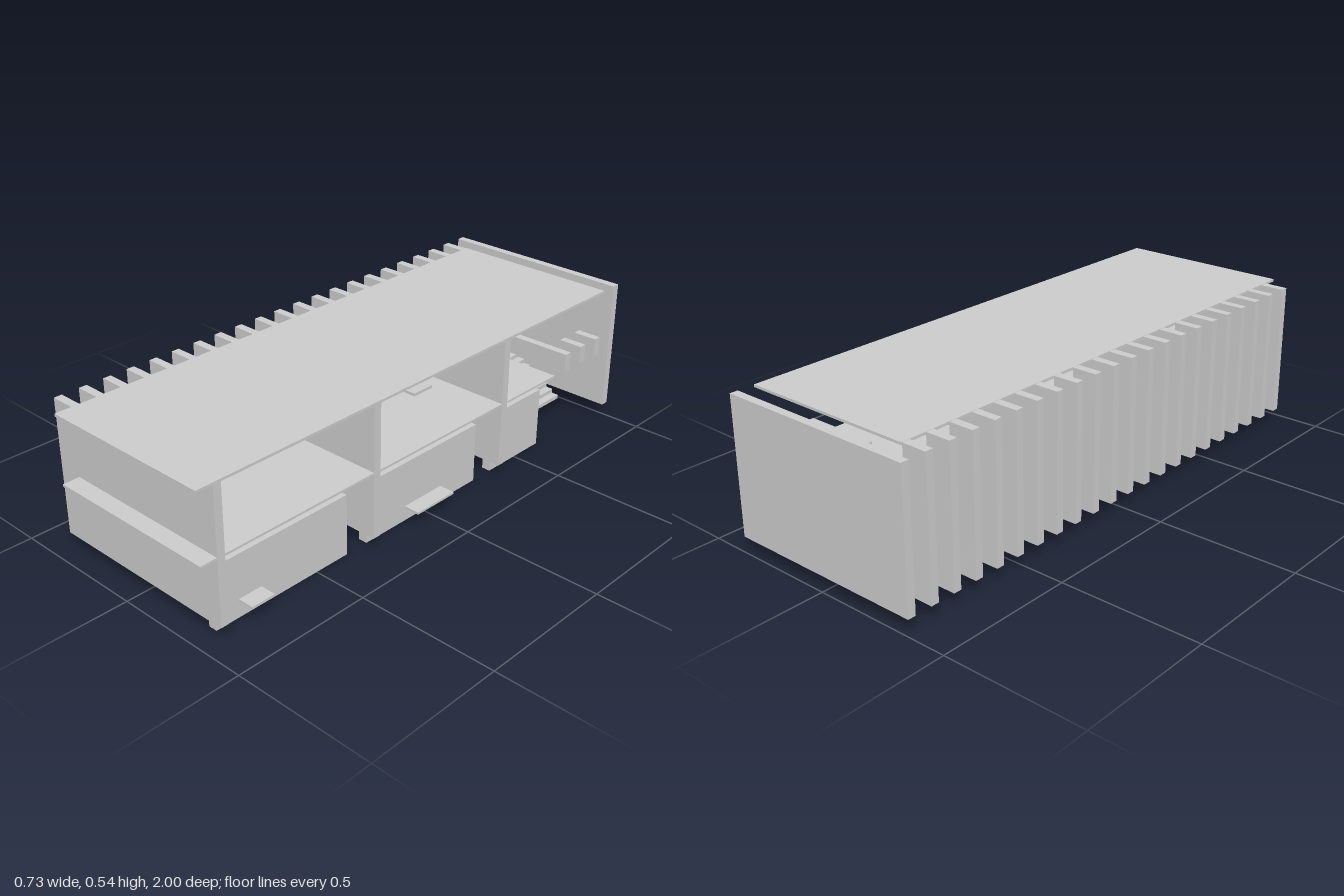
import * as THREE from 'three';

export function createModel() {
  const house = new THREE.Group();
  house.name = 'slattedHouse';
  const material = new THREE.MeshStandardMaterial({ color: 0xcccccc, flatShading: true });

  // Box given by its lower and upper limits on each axis
  function box(name, [x0, x1], [y0, y1], [z0, z1]) {
    const mesh = new THREE.Mesh(new THREE.BoxGeometry(x1 - x0, y1 - y0, z1 - z0), material);
    mesh.position.set((x0 + x1) / 2, (y0 + y1) / 2, (z0 + z1) / 2);
    mesh.name = name;
    house.add(mesh);
  }

  const left = 0.362, right = -0.364, inner = -0.274;
  const wallY = [0.055, 0.535];
  const pitch = 0.0909, frontZ = 0.925, half = 0.0145;

  // Every seventh frame is a full cross wall, the rest are slats on one side
  for (let i = 0; i <= 21; i++) {
    const z = frontZ - i * pitch;
    const span = [z - half, z + half];
    if (i === 7) {
      // Cross wall with a doorway
      box('crossWall', [right, -0.09], wallY, span);
      box('crossWall', [0, left], wallY, span);
      box('crossWallLintel', [-0.09, 0], [0.24, 0.535], span);
    } else if (i % 7 === 0) {
      box('crossWall', [right, left], wallY, span);
    } else {
      box('slat', [right, inner], wallY, span);
    }
  }

  // Roof and upper floor
  box('roof', [inner, left], [0.527, 0.536], [-0.91, 1]);
  box('upperFloor', [inner, left], [0.287, 0.295], [-0.635, 1]);

  // Low panels along the open side
  for (const z of [[0.365, 0.91], [-0.27, 0.275], [-0.635, -0.36]]) {
    box('sidePanel', [0.272, 0.304], [0, 0.22], z);
  }

  // Thin shelves, ledges and landing
  const low = [0.047, 0.055];
  box('frontLedge', [0.304, left], [0.057, 0.065], [0.73, 0.82]);
  box('middleLedge', [0.304, left], low, [-0.09, 0.09]);
  box('frontStep', [-0.183, -0.092], low, [0.73, 0.82]);
  box('frontShelf', [-0.092, 0.18], low, [0.547, 0.638]);
  box('middleShelf', [-0.092, 0.18], low, [-0.27, -0.09]);
  box('upperTable', [-0.092, 0.18], [0.35, 0.36], [-0.18, -0.09]);
  box('landing', [inner, 0.03], low, [-0.905, -0.635]);

  // Staircase rising towards the slats
  const steps = 14, rise = 0.0163;
  for (let i = 0; i < steps; i++) {
    const x = 0.185 - i * 0.0275, y = 0.05 + i * rise;
    box('stairTread', [x - 0.018, x + 0.018], [y, y + rise * 0.9], [-0.905, -0.635]);
  }

  // Beams beside the stair opening
  [0.09, 0.272, 0.272].forEach((x, i) => {
    const z = frontZ - (18 + i) * pitch;
    box('stairBeam', [x, left], [0.287, 0.355], [z - half, z + half]);
  });

  return house;
}
